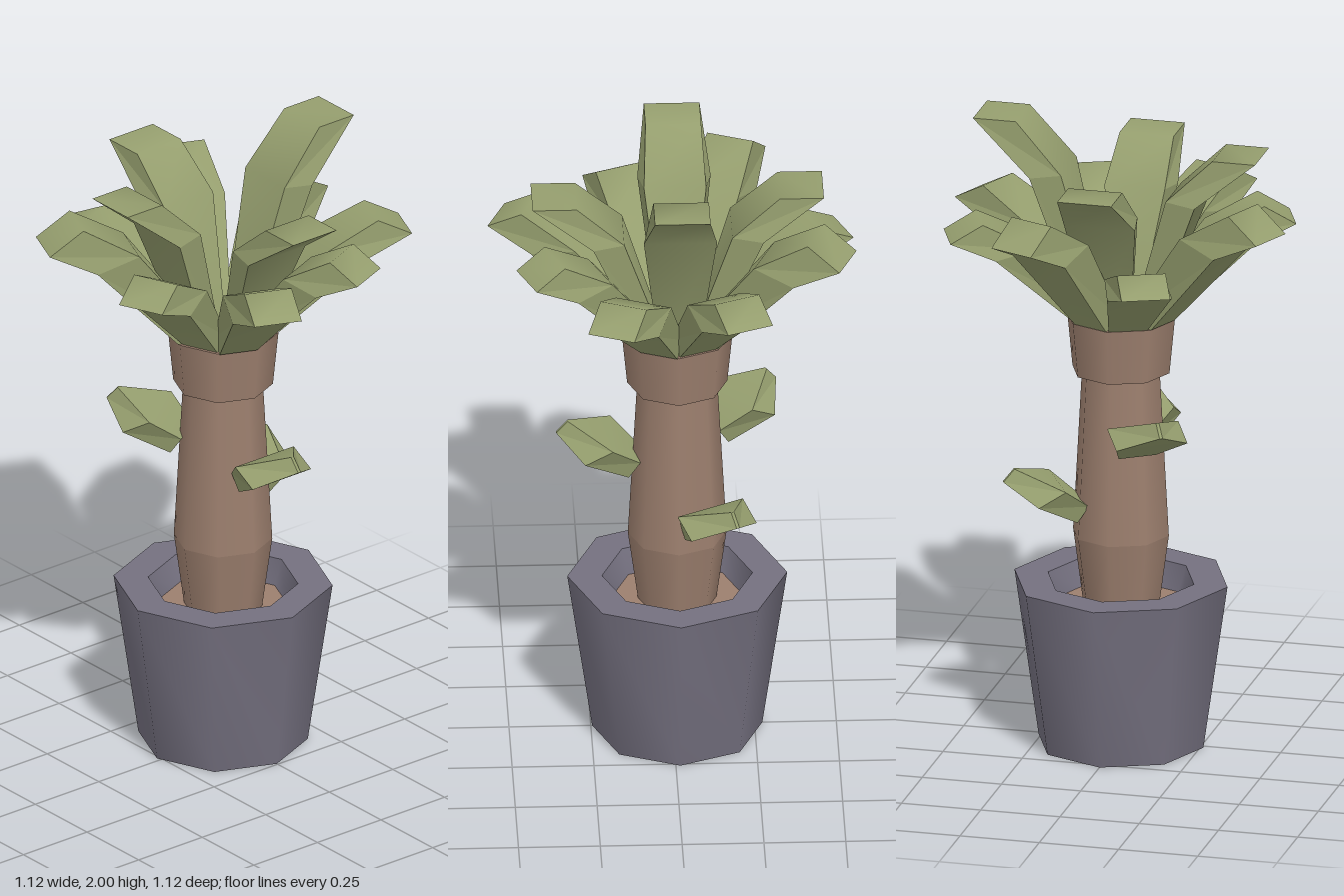
import * as THREE from 'three';
import { mergeGeometries, toCreasedNormals } from 'three/addons/utils/BufferGeometryUtils.js';

const CX = -0.014; // axis of pot and trunk
const CROWN_Y = 1.375;

function material(name, color) {
  const m = new THREE.MeshStandardMaterial({ color });
  m.name = name;
  return m;
}

function mesh(name, geometry, mat, y = 0) {
  const m = new THREE.Mesh(geometry, mat);
  m.name = name;
  m.position.y = y;
  return m;
}

// Smooth strip across the leaf; each station is [reach, height, halfWidth]
function strip(stations) {
  const pos = [], index = [];
  stations.forEach(([r, h, w], i) => {
    pos.push(r, h, w, r, h, -w);
    if (i < stations.length - 1) {
      const a = i * 2;
      index.push(a, a + 2, a + 1, a + 1, a + 2, a + 3);
    }
  });
  const g = new THREE.BufferGeometry();
  g.setAttribute('position', new THREE.Float32BufferAttribute(pos, 3));
  g.setIndex(index);
  g.computeVertexNormals();
  return g.toNonIndexed();
}

// Flat side wall made of quads, on side s = 1 or -1
function side(quads, s) {
  const pos = [];
  for (const q of quads) {
    const order = s > 0 ? [0, 1, 2, 0, 2, 3] : [0, 2, 1, 0, 3, 2];
    for (const k of order) pos.push(q[k][0], q[k][1], q[k][2] * s);
  }
  const g = new THREE.BufferGeometry();
  g.setAttribute('position', new THREE.Float32BufferAttribute(pos, 3));
  g.computeVertexNormals();
  return g;
}

// Thick leaf: upper curve u0-u1-u2-tip, lower curve tip-l1-l0
function leafGeometry(profile, sr = 1, sh = 1) {
  const [u0, u1, u2, tip, l1, l0] = profile.map(([r, h, w]) => [r * sr, h * sh, w]);
  const walls = [[u0, l0, l1, u1], [u1, l1, tip, u2]];
  return mergeGeometries([
    strip([u0, u1, u2, tip]), strip([tip, l1, l0]), side(walls, 1), side(walls, -1),
  ]);
}

const INNER = [[0.045, 0, 0.045], [0.165, 0.41, 0.095], [0.31, 0.55, 0.085],
  [0.445, 0.55, 0.085], [0.26, 0.4, 0.112], [0.11, 0, 0.06]];
const OUTER = [[0.045, 0, 0.04], [0.3, 0.265, 0.09], [0.48, 0.35, 0.075],
  [0.59, 0.29, 0.075], [0.44, 0.235, 0.1], [0.165, 0, 0.06]];
const SHOOT = [[0.115, 0.05, 0.06], [0.2, 0.12, 0.115], [0.335, 0.17, 0.005],
  [0.37, 0.13, 0.005], [0.285, 0.075, 0.115], [0.15, 0, 0.06]];

export function createModel() {
  const green = material('leaf green', 0x959e6e);
  const brown = material('bark brown', 0x9c7f6e);
  const grey = material('pot grey', 0x74707f);

  const model = new THREE.Group();
  model.name = 'pottedPalm';
  const plant = new THREE.Group();
  plant.name = 'plant';
  plant.position.x = CX;
  model.add(plant);

  // Octagonal pot with a thick rim and recessed inside
  const potProfile = [[0, 0], [0.26, 0], [0.336, 0.525], [0.23, 0.525], [0.195, 0.42]]
    .map(([x, y]) => new THREE.Vector2(x, y));
  plant.add(mesh('pot', toCreasedNormals(new THREE.LatheGeometry(potProfile, 8), 0.9), grey));
  plant.add(mesh('soil', new THREE.CylinderGeometry(0.205, 0.195, 0.02, 8), brown, 0.435));

  // Trunk sections: [name, bottom y, top y, bottom radius, top radius]
  for (const [name, y0, y1, r0, r1] of [
    ['trunkFoot', 0.43, 0.675, 0.118, 0.151],
    ['trunk', 0.675, 1.21, 0.151, 0.122],
    ['trunkCollar', 1.2, CROWN_Y, 0.153, 0.17],
  ]) {
    plant.add(mesh(name, new THREE.CylinderGeometry(r1, r0, y1 - y0, 8), brown, (y0 + y1) / 2));
  }
  plant.add(mesh('crownBase', new THREE.CylinderGeometry(0.15, 0.15, 0.008, 8), green, CROWN_Y + 0.004));

  const addLeaf = (name, geometry, degrees, y) => {
    const leaf = mesh(name, geometry, green, y);
    leaf.rotation.y = -THREE.MathUtils.degToRad(degrees); // 0 = +x, 90 = +z
    plant.add(leaf);
  };

  // Four upright leaves: [direction, height]
  for (const [deg, h] of [[0, 0.48], [90, 0.55], [180, 0.505], [270, 0.625]]) {
    addLeaf('innerLeaf', leafGeometry(INNER, 1, h / 0.55), deg, CROWN_Y);
  }

  // Eight drooping leaves: [reach, height], every 45 degrees from 22.5
  [[0.59, 0.355], [0.53, 0.355], [0.574, 0.435], [0.558, 0.285],
    [0.556, 0.425], [0.536, 0.335], [0.58, 0.34], [0.506, 0.355]].forEach(([r, h], i) => {
    addLeaf('outerLeaf', leafGeometry(OUTER, r / 0.59, h / 0.35), 22.5 + i * 45, CROWN_Y);
  });

  // Small pointed leaves growing from the trunk
  const shoot = leafGeometry(SHOOT);
  for (const [deg, y] of [[0, 0.9], [146, 0.965], [242, 0.735]]) {
    addLeaf('trunkLeaf', shoot, deg, y);
  }
  return model;
}
